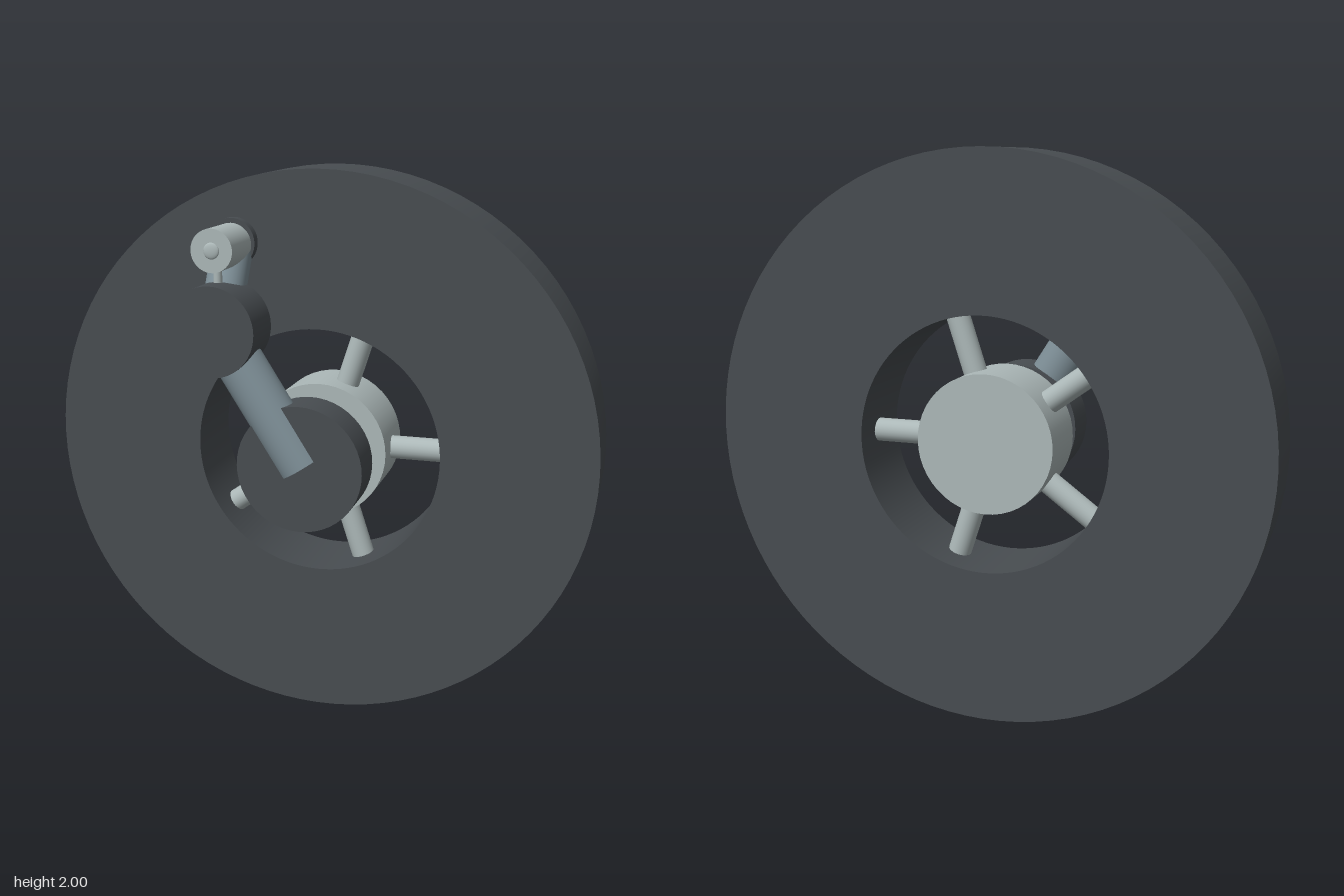
import * as THREE from 'three';

const dark = new THREE.MeshStandardMaterial({ color: 0x484d51 });
dark.name = 'charcoal';
const light = new THREE.MeshStandardMaterial({ color: 0xacb8b8 });
light.name = 'paleGrey';
const slate = new THREE.MeshStandardMaterial({ color: 0x7e8f97 });
slate.name = 'slateGrey';

export function createModel() {
  const model = new THREE.Group();
  model.name = 'wheelWithArm';

  const V = (x, y, z) => new THREE.Vector3(x, y, z);

  // Round bar between two points
  function rod(name, a, b, radius, material, sides = 32) {
    const dir = b.clone().sub(a);
    const mesh = new THREE.Mesh(new THREE.CylinderGeometry(radius, radius, dir.length(), sides), material);
    mesh.name = name;
    mesh.position.copy(a).add(b).multiplyScalar(0.5);
    mesh.quaternion.setFromUnitVectors(V(0, 1, 0), dir.normalize());
    model.add(mesh);
    return mesh;
  }

  // Disc or drum facing forward, from z0 (back) to z1 (front)
  const drum = (name, x, y, z0, z1, radius, material, sides = 48) =>
    rod(name, V(x, y, z0), V(x, y, z1), radius, material, sides);

  // Thick ring: square section turned about the wheel axis
  const section = [[0.45, -0.15], [1, -0.15], [1, 0.15], [0.45, 0.15], [0.45, -0.15]];
  const ring = new THREE.Group();
  ring.name = 'ring';
  for (let i = 0; i < 4; i++) {
    const points = [section[i], section[i + 1]].map(([r, h]) => new THREE.Vector2(r, h));
    const face = new THREE.Mesh(new THREE.LatheGeometry(points, 96), dark);
    face.name = ['ringBack', 'ringOuter', 'ringFront', 'ringInner'][i];
    ring.add(face);
  }
  ring.rotation.x = Math.PI / 2;
  ring.position.set(0, 1, -0.13);
  model.add(ring);

  // Hub, axle and five spokes
  drum('hub', 0, 1, -0.25, -0.01, 0.247, light);
  drum('axle', 0, 1, -0.02, 0.11, 0.05, light, 24);
  for (let i = 0; i < 5; i++) {
    const a = (i * 2 * Math.PI) / 5;
    const c = Math.cos(a), s = Math.sin(a);
    rod('spoke', V(0.2 * c, 1 + 0.2 * s, -0.13), V(0.48 * c, 1 + 0.48 * s, -0.13), 0.042, light, 24);
  }

  // Base disc, lower arm and elbow
  drum('baseDisc', 0, 1, 0.097, 0.245, 0.225, dark);
  rod('lowerArm', V(0, 1, 0.19), V(-0.3, 1.47, 0.19), 0.085, slate);
  drum('elbow', -0.3, 1.47, 0.097, 0.283, 0.157, dark);

  // Upper arm leaning back to the end joint
  rod('upperArm', V(-0.3, 1.47, 0.19), V(-0.3, 1.745, 0.03), 0.072, slate);
  drum('endJoint', -0.3, 1.745, 0.01, 0.055, 0.086, dark);

  // Handle with its stem and front button
  drum('handle', -0.3, 1.74, 0.05, 0.247, 0.074, light);
  rod('handleStem', V(-0.3, 1.58, 0.19), V(-0.3, 1.7, 0.19), 0.015, light, 16);
  const button = new THREE.Mesh(new THREE.SphereGeometry(0.028, 24, 16), light);
  button.name = 'handleButton';
  button.scale.z = 0.3;
  button.position.set(-0.3, 1.74, 0.247);
  model.add(button);

  return model;
}
